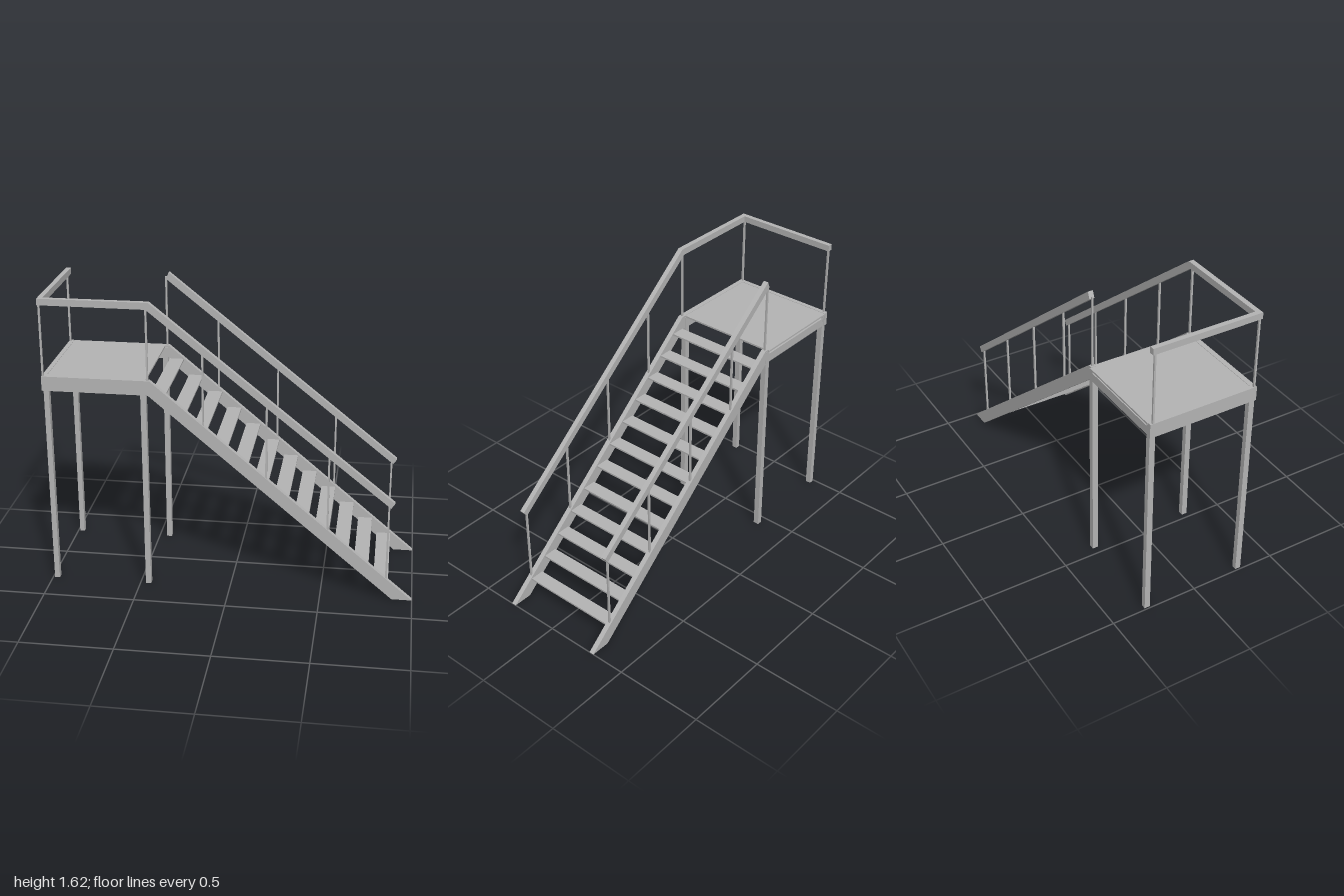
import * as THREE from 'three';

export function createModel() {
  const model = new THREE.Group();
  model.name = 'stairWithLanding';
  const steel = new THREE.MeshStandardMaterial({ color: 0xb4b4b4 });
  steel.name = 'grey steel';

  const add = (name, geometry) => {
    const mesh = new THREE.Mesh(geometry, steel);
    mesh.name = name;
    model.add(mesh);
    return mesh;
  };
  // box given by its limits on each axis
  const box = (name, x0, x1, y0, y1, z0, z1) =>
    add(name, new THREE.BoxGeometry(x1 - x0, y1 - y0, z1 - z0))
      .position.set((x0 + x1) / 2, (y0 + y1) / 2, (z0 + z1) / 2);
  // side profile in x and y, extruded from z0 to z1
  const plate = (name, points, z0, z1) => {
    const shape = new THREE.Shape(points.map(([x, y]) => new THREE.Vector2(x, y)));
    add(name, new THREE.ExtrudeGeometry(shape, { depth: z1 - z0, bevelEnabled: false }))
      .position.z = z0;
  };

  const front = [0.282, 0.31];
  const back = [-0.303, -0.275];

  // stringers: the front one carries on along the landing
  const slope = [[-0.43, 1.12], [0.89, 0], [1, 0], [-0.42, 1.2]];
  plate('frontStringer', [[-1, 1.12], ...slope, [-1, 1.2]], ...front);
  plate('backStringer', [[-0.445, 1.12], ...slope, [-0.445, 1.2]], ...back);

  // landing deck and its edge beams
  box('landingDeck', -0.98, -0.445, 1.188, 1.198, -0.31, 0.282);
  box('landingSideBeam', -1, -0.975, 1.12, 1.2, -0.308, 0.282);
  box('landingBackBeam', -0.975, -0.445, 1.12, 1.17, -0.303, -0.29);

  // handrails: the front one turns around the landing
  const rail = [[-0.43, 1.588], [0.865, 0.545], [0.885, 0.575], [-0.415, 1.625]];
  plate('frontHandrail', [[-1, 1.59], ...rail, [-1, 1.625]], ...front);
  plate('backHandrail', rail, ...back);
  box('landingSideHandrail', -1, -0.973, 1.59, 1.625, -0.303, 0.282);

  // treads
  for (let i = 0; i < 12; i++) {
    const x = 0.787 - i * 0.1095;
    const y = 0.1 + i * 0.0928;
    box('tread', x, x + 0.08, y - 0.005, y + 0.005, -0.276, 0.283);
  }

  // legs
  for (const z of [0.292, -0.288]) {
    box('leg', -0.99, -0.962, 0, 1.188, z - 0.016, z + 0.016);
    const x = z > 0 ? -0.47 : -0.457;
    box('leg', x, x + 0.03, 0, 1.188, z - 0.016, z + 0.016);
  }

  // slim railing posts
  const post = (x, z, y0, y1) => box('railPost', x - 0.005, x + 0.005, y0, y1, z - 0.005, z + 0.005);
  for (const z of [0.296, -0.289]) {
    post(-0.993, z, 1.19, 1.6);
    post(-0.432, z, 1.19, 1.6);
    for (const x of [-0.14, 0.197, 0.53, 0.855]) {
      post(x, z, 0.83 - x * 0.845, 1.26 - x * 0.805);
    }
  }
  return model;
}
